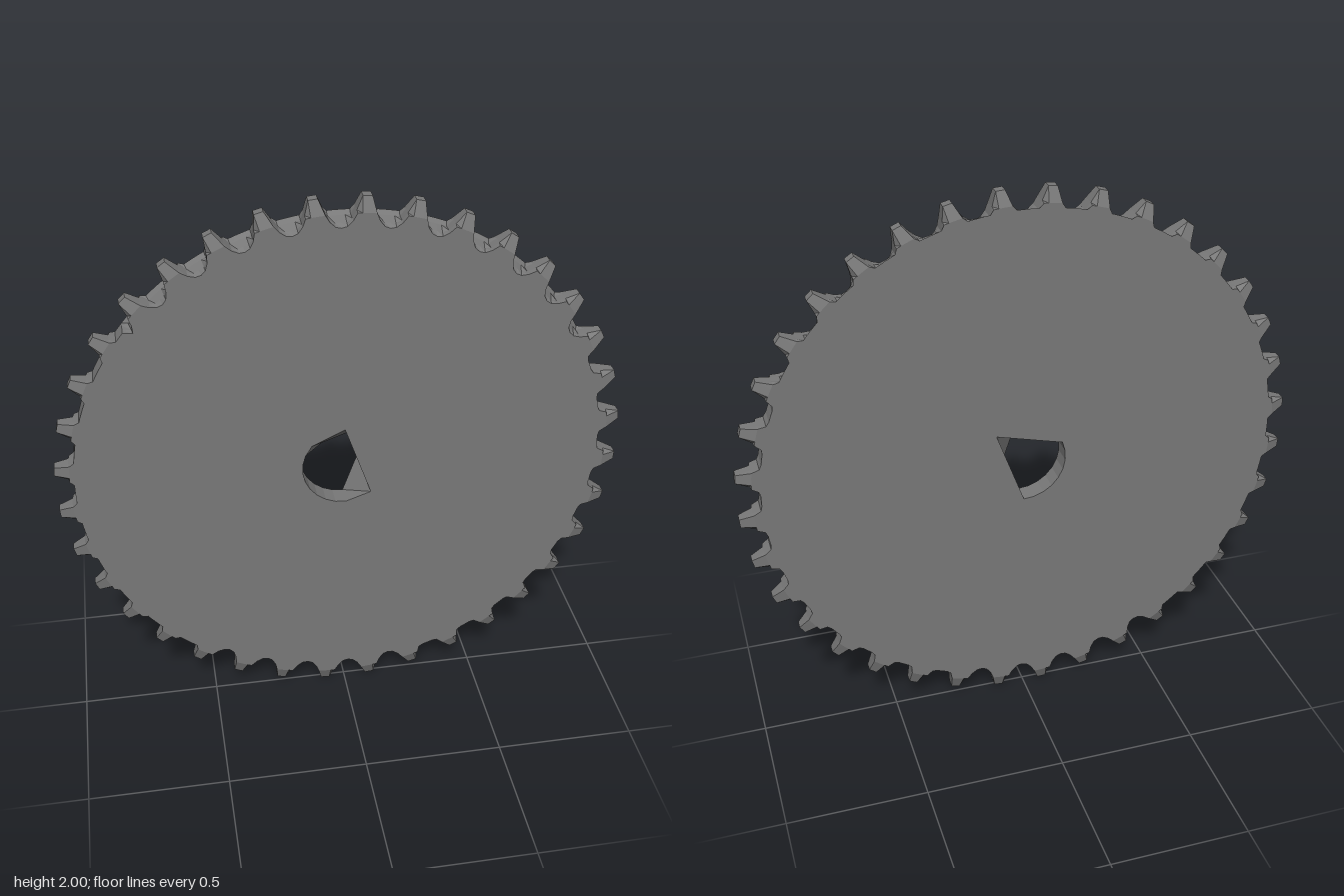
import * as THREE from 'three';
import { mergeGeometries } from 'three/addons/utils/BufferGeometryUtils.js';

const TEETH = 36, PHASE = 5.7, HALF = 0.037, TIP_HALF = 0.017;

const polar = (deg, r) => {
  const a = THREE.MathUtils.degToRad(deg);
  return new THREE.Vector2(r * Math.cos(a), r * Math.sin(a));
};

// Half a tooth: degrees from its centre line, radius
const FLANK = [[0.9, 1.003], [1.9, 0.955], [2.7, 0.927], [3.8, 0.909]];
const TOOTH = [...FLANK.map(([a, r]) => [-a, r]).reverse(), ...FLANK, [5, 0.904]];

// Radius of the gap floor by direction; the upper right gaps slope with depth
function gapFloor(deg, slopedFloor) {
  const a = (deg + 360) % 360;
  if (a > 25 && a < 140) return slopedFloor;
  if (a >= 140 && a < 235) return 0.937;
  if (a <= 25 || a > 285) return 0.922;
  return 0.904;
}

// Toothed outline with the tips trimmed to a radius
function outline(tipRadius, slopedFloor) {
  const pts = [];
  for (let i = 0; i < TEETH; i++) {
    const start = PHASE + i * 360 / TEETH;
    for (const [da, r] of TOOTH) {
      const floor = gapFloor(start + da, slopedFloor);
      pts.push(polar(start + da, Math.min(tipRadius, Math.max(floor, r))));
    }
  }
  return pts;
}

// Closed wall between two matching loops (counter-clockwise faces outward)
function wall(loopA, zA, loopB, zB) {
  const pos = [];
  const n = loopA.length;
  for (let i = 0; i < n; i++) {
    const j = (i + 1) % n;
    const a = [loopA[i].x, loopA[i].y, zA], an = [loopA[j].x, loopA[j].y, zA];
    const b = [loopB[i].x, loopB[i].y, zB], bn = [loopB[j].x, loopB[j].y, zB];
    pos.push(...a, ...b, ...bn, ...a, ...bn, ...an);
  }
  const g = new THREE.BufferGeometry();
  g.setAttribute('position', new THREE.Float32BufferAttribute(pos, 3));
  g.computeVertexNormals();
  return g;
}

// Flat side of the disc with its bore
function face(loop, hole, z, flip) {
  const shape = new THREE.Shape(loop);
  shape.holes.push(new THREE.Path(hole));
  const g = new THREE.ShapeGeometry(shape);
  if (flip) g.index.array.reverse();
  const flat = g.toNonIndexed();
  flat.translate(0, 0, z);
  flat.computeVertexNormals();
  return flat;
}

export function createModel() {
  const group = new THREE.Group();
  group.name = 'sprocket';
  const material = new THREE.MeshStandardMaterial({ color: 0x797979, flatShading: true });

  // Rim cross-sections from front to back: tips taper towards both faces
  const layers = [
    [outline(0.952, 0.904), HALF],
    [outline(1.003, 0.915), TIP_HALF],
    [outline(1.003, 0.926), -TIP_HALF],
    [outline(0.952, 0.937), -HALF],
  ];

  // D-shaped bore whose flat turns from front to back
  const R = 0.151;
  const arc = [];
  for (let i = 0; i <= 8; i++) arc.push(polar(157 + i * 114 / 8, R));
  const corner = polar(50, 0.158);
  const frontHole = [polar(90, R), polar(141, R), ...arc, polar(308, R)];
  const backHole = [corner, corner.clone().lerp(arc[0], 0.6), ...arc, corner];

  const add = (name, geometry) => {
    const mesh = new THREE.Mesh(geometry, material);
    mesh.name = name;
    mesh.position.y = 1;
    group.add(mesh);
  };

  add('frontFace', face(layers[0][0], frontHole, HALF, false));
  add('backFace', face(layers[3][0], backHole.slice(0, -1), -HALF, true));
  add('toothedRim', mergeGeometries([0, 1, 2].map(i => wall(...layers[i], ...layers[i + 1]))));
  add('boreWall', wall([...frontHole].reverse(), HALF, [...backHole].reverse(), -HALF));
  return group;
}
